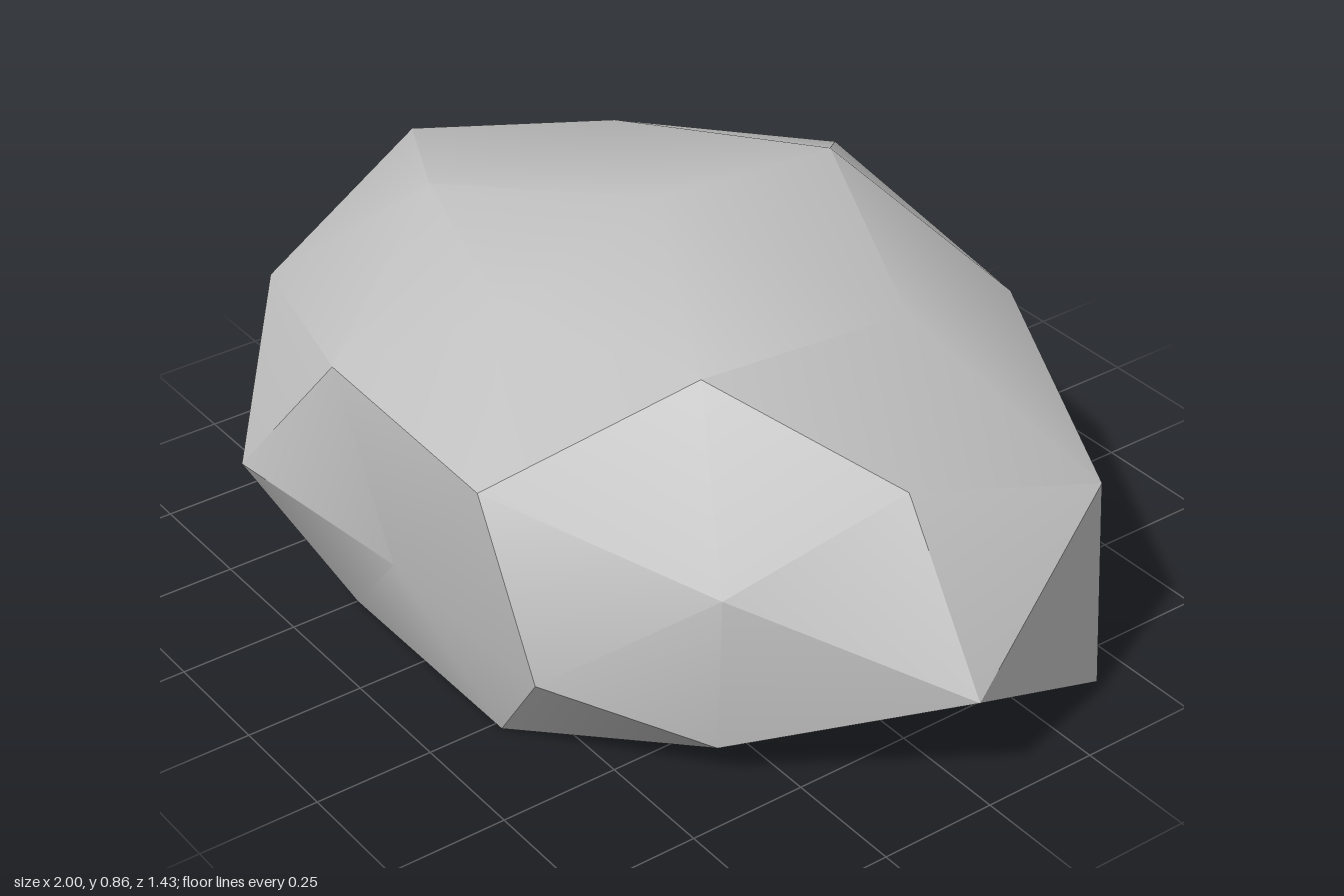
import * as THREE from 'three';
import { toCreasedNormals } from 'three/addons/utils/BufferGeometryUtils.js';

const CENTRE = new THREE.Vector3(0, 0.255, 0.04);
const RADII = new THREE.Vector3(1, 0.6, 0.7);

// Rings of chipped corners (x, y, z) that a faceted ball is pulled to
const waist = [
  [1, 0.255, 0.04], [0.48, 0.255, 0.66], [0, 0.255, 0.66], [-0.48, 0.255, 0.715],
  [-1, 0.255, 0.04], [-0.5, 0.255, -0.54], [0.01, 0.255, -0.72], [0.53, 0.255, -0.65],
];
const shoulder = [[0.66, 0.425, 0.37], [-0.78, 0.465, 0.455], [-0.82, 0.48, -0.4], [0.84, 0.48, -0.385]];
const upper = [
  [0.78, 0.595, 0.04], [0.3, 0.58, 0.655], [-0.25, 0.565, 0.625],
  [-0.87, 0.64, 0.04], [-0.31, 0.625, -0.665], [0.34, 0.59, -0.59],
];
const crown = [
  [0.01, 0.86, 0.04], [0, 0.725, 0.39], [0.02, 0.84, -0.38], [0.46, 0.76, 0.27],
  [-0.44, 0.77, 0.27], [0.49, 0.75, -0.19], [-0.45, 0.765, -0.19],
];
const foot = [[0.65, 0.085, 0.37], [-0.8, 0.035, 0.46], [-0.59, 0.03, -0.36], [0.865, 0.03, -0.39]];
const base = [
  [0.66, 0, 0.04], [0.27, 0, 0.6], [-0.25, 0, 0.6],
  [-0.9, 0, 0.04], [-0.33, 0, -0.64], [0.28, 0, -0.64],
];

// The underside repeats the crown, then is cut flat at the ground
const underside = crown.map(([x, y, z]) => [x, 2 * CENTRE.y - y, z]);

function rockGeometry() {
  const rings = [...waist, ...shoulder, ...upper, ...crown, ...foot, ...base, ...underside];
  const anchors = rings.map((p) => {
    const point = new THREE.Vector3(...p);
    const dir = point.clone().sub(CENTRE).divide(RADII).normalize();
    return { point, dir };
  });

  const geometry = new THREE.IcosahedronGeometry(1, 1).rotateZ(Math.PI / 2);
  geometry.deleteAttribute('uv');
  const pos = geometry.attributes.position;
  const v = new THREE.Vector3();
  for (let i = 0; i < pos.count; i++) {
    v.fromBufferAttribute(pos, i);
    let best = anchors[0];
    for (const a of anchors) if (a.dir.dot(v) > best.dir.dot(v)) best = a;
    pos.setXYZ(i, best.point.x, Math.max(0, best.point.y), best.point.z);
  }
  return toCreasedNormals(geometry, THREE.MathUtils.degToRad(30));
}

export function createModel() {
  const group = new THREE.Group();
  group.name = 'rock';
  const stone = new THREE.MeshStandardMaterial({ color: 0xc0c0c0 });
  stone.name = 'stoneGrey';
  const boulder = new THREE.Mesh(rockGeometry(), stone);
  boulder.name = 'boulder';
  group.add(boulder);
  return group;
}
